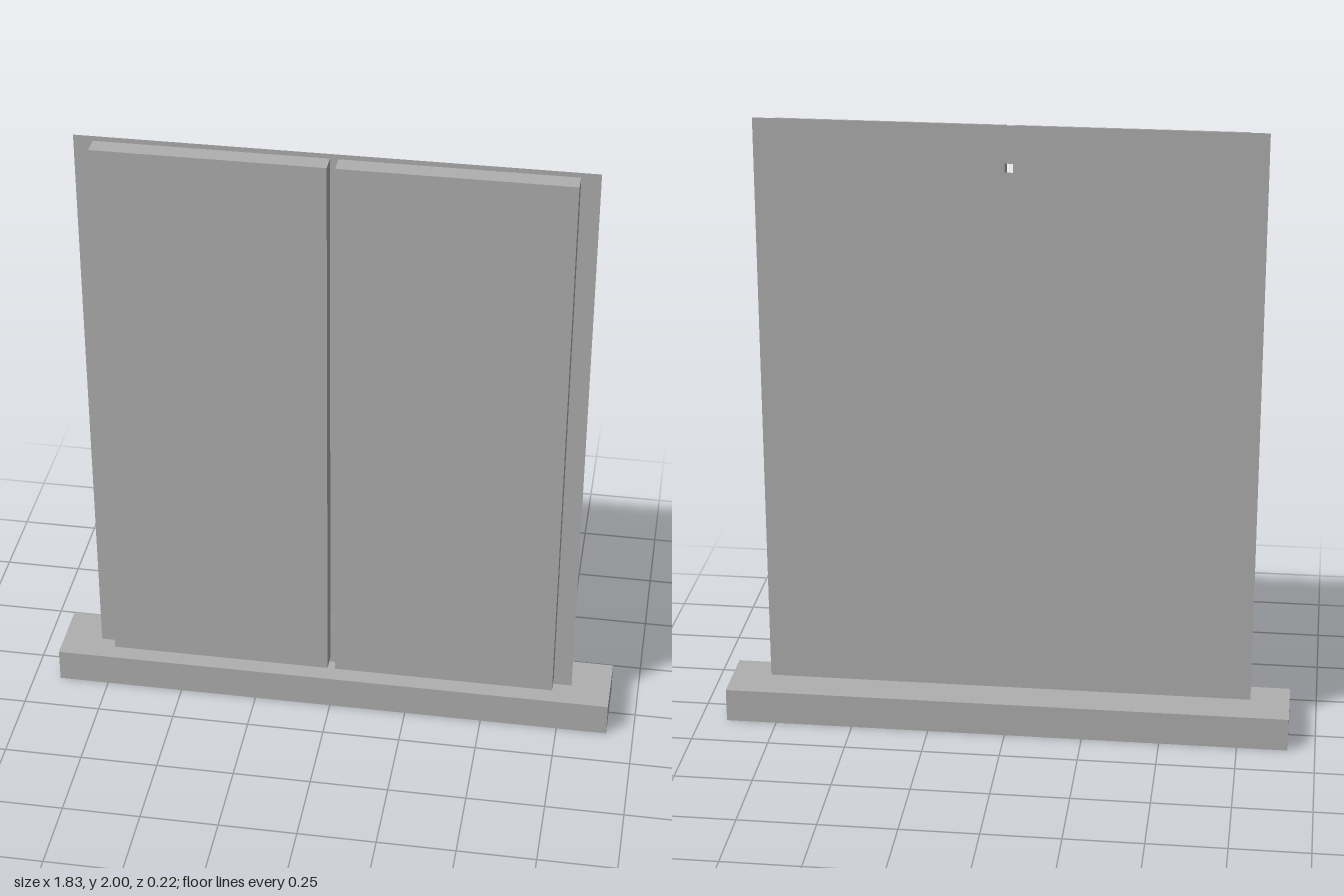
import * as THREE from 'three';

// Shuttered window: sill, thin wall frame with opening, pane set back, two shutters
export function createModel() {
  const group = new THREE.Group();
  const grey = new THREE.MeshStandardMaterial({ color: 0xb0b0b0, side: THREE.DoubleSide });
  grey.name = 'plain grey';

  const add = (name, geometry, x, y, z) => {
    const mesh = new THREE.Mesh(geometry, grey);
    mesh.name = name;
    mesh.position.set(x, y, z);
    group.add(mesh);
  };

  // Sill
  add('sill', new THREE.BoxGeometry(1.826, 0.11, 0.22), 0, 0.055, 0);

  // Flat frame with a rectangular opening
  const rect = (path, w, y0, y1) =>
    path.moveTo(-w, y0).lineTo(w, y0).lineTo(w, y1).lineTo(-w, y1).closePath();
  const outline = new THREE.Shape();
  rect(outline, 0.787, 0.11, 2);
  const opening = new THREE.Path();
  rect(opening, 0.667, 0.24, 1.88);
  outline.holes.push(opening);
  add('frame', new THREE.ShapeGeometry(outline), 0, 0, 0.017);

  // Pane behind the opening
  add('pane', new THREE.PlaneGeometry(1.334, 1.64), 0, 1.06, -0.078);

  // Pair of shutters in front of the frame
  for (const side of [-1, 1]) {
    add(side > 0 ? 'leftShutter' : 'rightShutter',
      new THREE.BoxGeometry(0.715, 1.855, 0.06), side * 0.37, 1.0575, 0.048);
  }
  return group;
}
